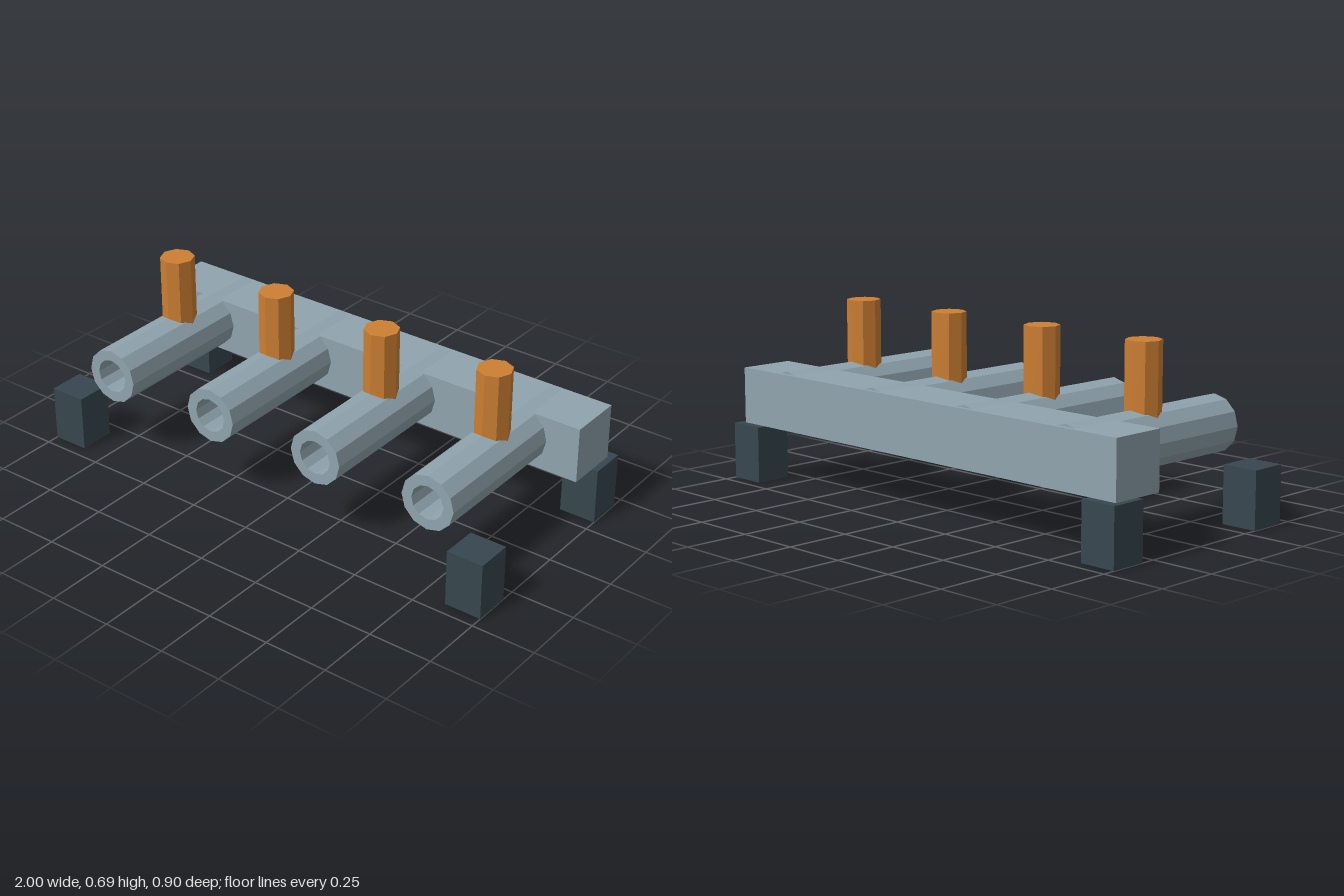
import * as THREE from 'three';

const material = (color) => new THREE.MeshStandardMaterial({ color, flatShading: true });

export function createModel() {
  const model = new THREE.Group();
  const steel = material(0x90a4ae);
  const bronze = material(0xcd7f32);
  const dark = material(0x37474f);

  function add(name, geometry, mat, x, y, z) {
    const mesh = new THREE.Mesh(geometry, mat);
    mesh.name = name;
    mesh.position.set(x, y, z);
    model.add(mesh);
    return mesh;
  }

  // Rear cross beam
  add('crossBeam', new THREE.BoxGeometry(1.95, 0.22, 0.22), steel, 0, 0.33, -0.305);

  // Hollow twelve-sided tube: a closed rectangular profile turned round its axis
  const outer = 0.109, inner = 0.067, half = 0.398;
  const profile = [[inner, -half], [outer, -half], [outer, half], [inner, half], [inner, -half]]
    .map(([r, h]) => new THREE.Vector2(r, h));
  const tubeGeometry = new THREE.LatheGeometry(profile, 12);
  tubeGeometry.rotateX(Math.PI / 2);

  // Octagonal post, just sunk into the tube wall
  const postBottom = 0.415, postTop = 0.695;
  const postGeometry = new THREE.CylinderGeometry(0.067, 0.067, postTop - postBottom, 8);

  for (let i = 0; i < 4; i++) {
    const x = (i - 1.5) * 0.488;
    add('tube', tubeGeometry, steel, x, 0.342, 0);
    add('post', postGeometry, bronze, x, (postBottom + postTop) / 2, 0);
  }

  // Four corner feet
  const footGeometry = new THREE.BoxGeometry(0.146, 0.22, 0.146);
  for (const x of [-0.927, 0.927]) {
    for (const z of [-0.378, 0.378]) add('foot', footGeometry, dark, x, 0.11, z);
  }

  return model;
}
